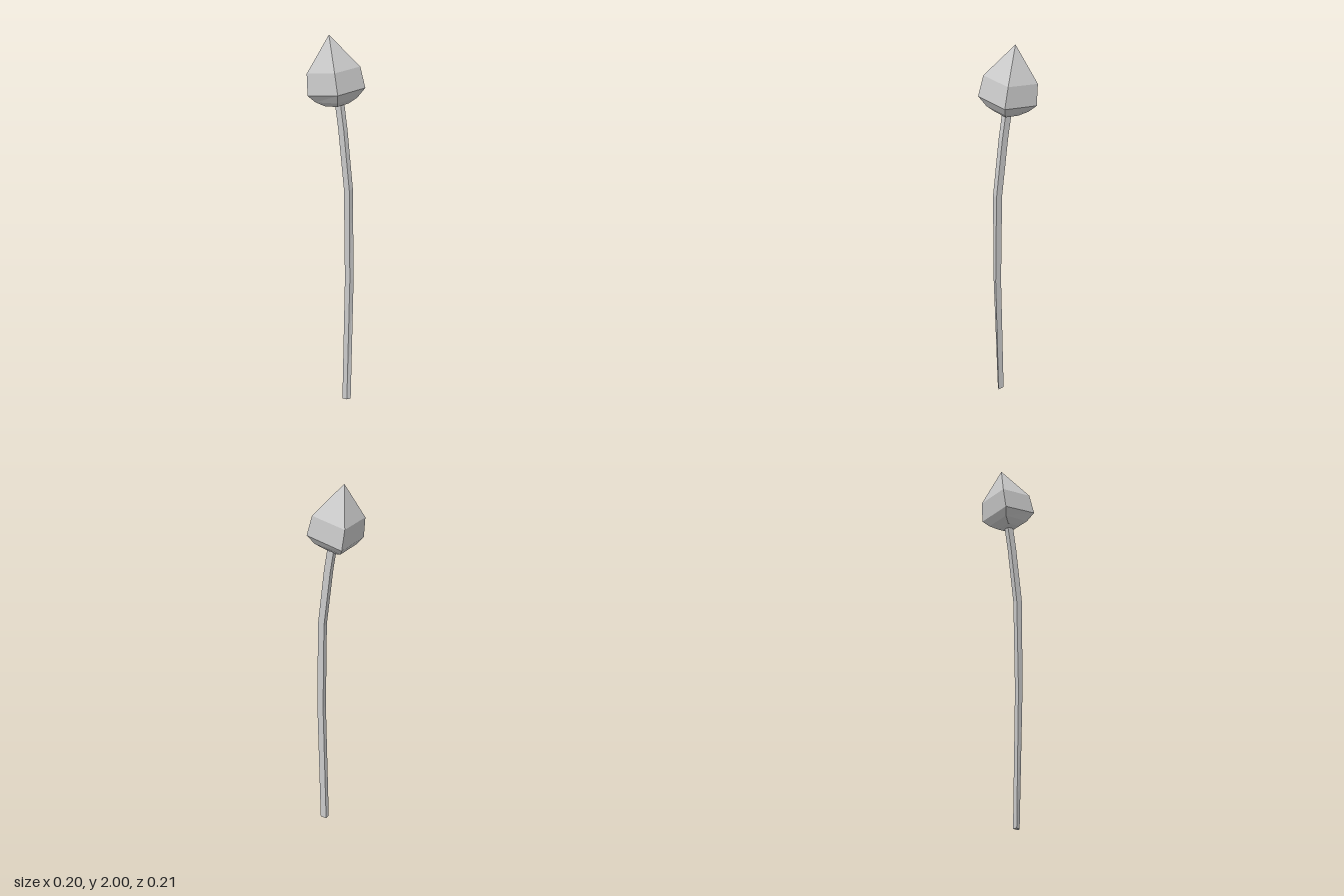
import * as THREE from 'three';

const material = new THREE.MeshStandardMaterial({ color: 0xcccccc, flatShading: true });

// Skins four-sided rings, listed bottom to top; each is [halfWidth, frontZ, frontY, backZ, backY].
// The optional cut pulls the front right corner in towards the middle.
function loft(name, x, rings) {
  const positions = [];
  const corners = rings.map(([w, fz, fy, bz, by, cut = 0]) => [
    [w, fy, fz], [w, by, bz], [-w, by, bz],
    [-w * (1 - cut), fy, THREE.MathUtils.lerp(fz, (fz + bz) / 2, cut)],
  ]);
  const quad = (a, b, c, d) => positions.push(...a, ...b, ...c, ...a, ...c, ...d);
  for (let i = 0; i < corners.length - 1; i++) {
    const low = corners[i], high = corners[i + 1];
    for (let j = 0; j < 4; j++) {
      const k = (j + 1) % 4;
      quad(low[j], low[k], high[k], high[j]);
    }
  }
  // End caps
  const [a, b, c, d] = corners[0];
  quad(d, c, b, a);
  quad(...corners[corners.length - 1]);
  const geometry = new THREE.BufferGeometry();
  geometry.setAttribute('position', new THREE.Float32BufferAttribute(positions, 3));
  geometry.computeVertexNormals();
  const mesh = new THREE.Mesh(geometry, material);
  mesh.name = name;
  mesh.position.x = x;
  return mesh;
}

export function createModel() {
  const group = new THREE.Group();
  group.name = 'flowerBud';

  // Bent stem, slightly off centre: [y, z, tilt along the bend, corner cut]
  const path = [
    [0, 0.071, 0, 0.6], [0.73, 0.086, 0, 0.3], [1.23, 0.077, 0.07, 0],
    [1.54, 0.038, 0.16, 0], [1.68, 0.014, 0.19, 0],
  ];
  const halfDepth = 0.018;
  group.add(loft('stem', 0.01, path.map(([y, z, tilt, cut]) => {
    const dy = halfDepth * tilt;
    return [0.014, z + halfDepth, y + dy, z - halfDepth, y - dy, cut];
  })));

  // Closed bud leaning back, with a rounded base and a pointed tip
  group.add(loft('bud', 0, [
    [0.042, 0.048, 1.665, -0.03, 1.652],
    [0.072, 0.077, 1.693, -0.07, 1.672],
    [0.102, 0.104, 1.742, -0.095, 1.706],
    [0.094, 0.077, 1.846, -0.107, 1.814],
    [0, -0.045, 2, -0.045, 2],
  ]));

  return group;
}
